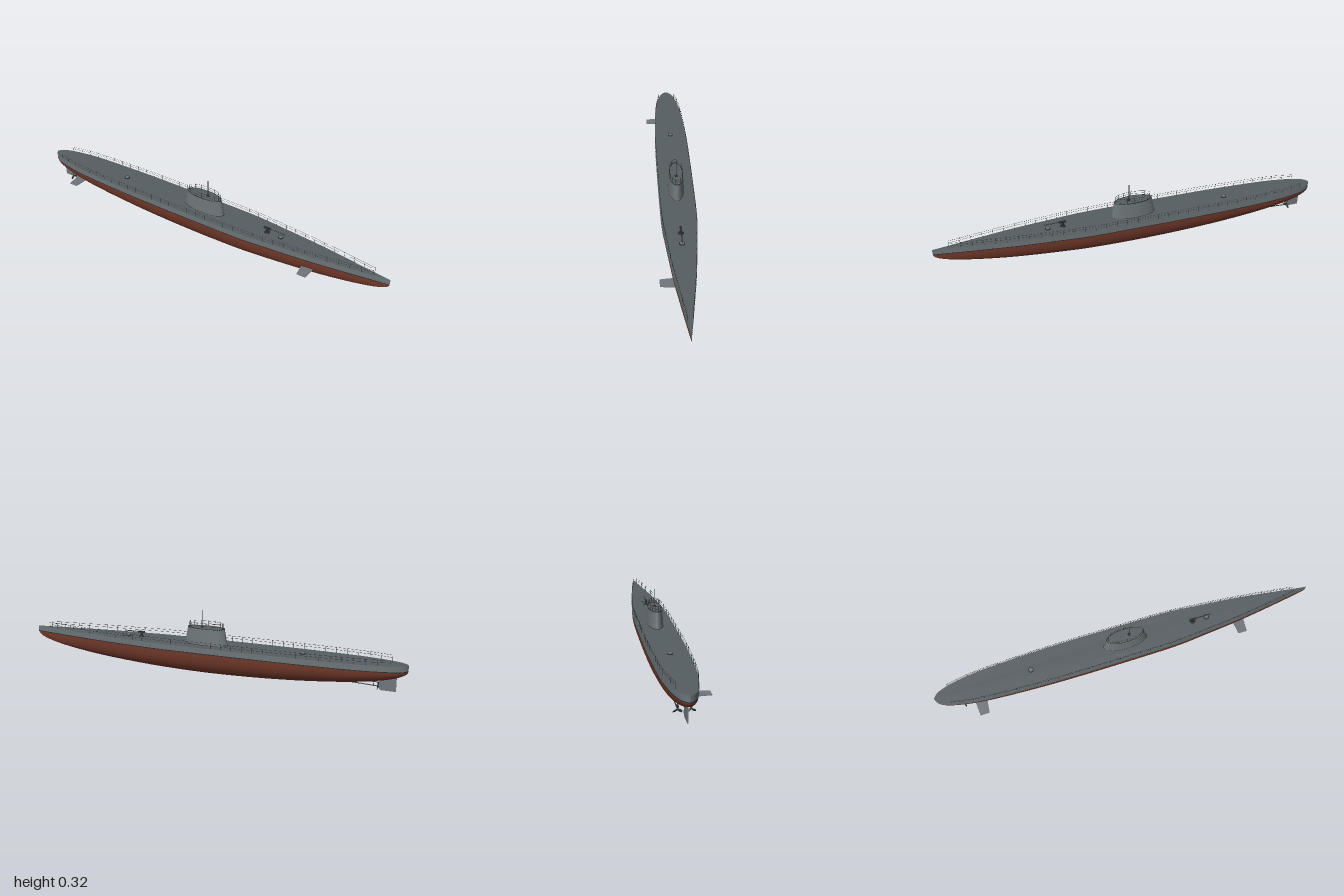
import * as THREE from 'three';

const mat = (name, color, side = THREE.FrontSide) => {
  const m = new THREE.MeshStandardMaterial({ color, side });
  m.name = name;
  return m;
};

export function createModel() {
  const red = mat('hull red', 0x743a2b);
  const grey = mat('hull grey', 0x6c7477);
  const deckGrey = mat('deck grey', 0x575e62);
  const dark = mat('dark steel', 0x2a2d2f);
  const plate = mat('plane grey', 0x70767a);

  const model = new THREE.Group();
  model.name = 'submarine';
  const boat = new THREE.Group();
  boat.name = 'boat';
  boat.position.z = -0.018;
  model.add(boat);

  const add = (name, geo, material, x = 0, y = 0, z = 0, parent = boat) => {
    const m = new THREE.Mesh(geo, material);
    m.name = name;
    m.position.set(x, y, z);
    parent.add(m);
    return m;
  };
  const rod = (name, a, b, r, material, parent = boat) => {
    const p = new THREE.Vector3(...a), q = new THREE.Vector3(...b);
    const m = add(name, new THREE.CylinderGeometry(r, r, p.distanceTo(q), 8), material, 0, 0, 0, parent);
    m.position.copy(p).lerp(q, 0.5);
    m.quaternion.setFromUnitVectors(new THREE.Vector3(0, 1, 0), q.sub(p).normalize());
    return m;
  };

  // Half-width of the deck from stern (-x) to bow (+x)
  const outline = new THREE.SplineCurve([
    [-1, 0], [-0.985, 0.02], [-0.95, 0.039], [-0.88, 0.057], [-0.77, 0.073], [-0.6, 0.083],
    [-0.35, 0.09], [0, 0.09], [0.25, 0.087], [0.4, 0.075], [0.6, 0.056], [0.75, 0.036],
    [0.88, 0.017], [0.96, 0.005], [1, 0],
  ].map(p => new THREE.Vector2(...p)));
  const stations = outline.getPoints(84);
  const halfWidth = x => {
    const i = Math.max(1, stations.findIndex(p => p.x >= x));
    const a = stations[i - 1], b = stations[i];
    return a.y + (b.y - a.y) * (x - a.x) / (b.x - a.x);
  };
  const depthAt = x => Math.sqrt(Math.max(0, 1 - Math.abs(x) ** 1.8));

  // Loft a cross-section, given as a rule (station, index) -> [y, z]
  const loft = (count, section) => {
    const pos = [], idx = [];
    stations.forEach((s, i) => {
      for (let j = 0; j < count; j++) {
        pos.push(s.x, ...section(s, j));
        if (i && j) {
          const d = i * count + j, c = d - 1, b = d - count, a = b - 1;
          idx.push(a, b, c, b, d, c);
        }
      }
    });
    const g = new THREE.BufferGeometry();
    g.setAttribute('position', new THREE.Float32BufferAttribute(pos, 3));
    g.setIndex(idx);
    g.computeVertexNormals();
    return g;
  };

  // Lower hull
  const N = 16;
  add('lowerHull', loft(N + 1, (s, j) => {
    const a = Math.PI * j / N;
    const c = Math.cos(a);
    return [0.12 - 0.12 * depthAt(s.x) * Math.sin(a), s.y * Math.sign(c) * Math.abs(c) ** 0.9];
  }), red);

  // Grey topsides and dark waterline stripe
  const sideBand = (name, top, bottom, out, material) => {
    for (const side of [1, -1]) {
      add(name, loft(2, (s, j) => [(j === 0) === (side > 0) ? top : bottom, side * (s.y + out)]), material);
    }
  };
  sideBand('topsides', 0.15, 0.12, 0, grey);
  sideBand('waterlineStripe', 0.1225, 0.1185, 0.0006, dark);

  // Deck
  const deckShape = new THREE.Shape([
    ...stations.map(p => new THREE.Vector2(p.x, -p.y)),
    ...stations.slice(1, -1).reverse().map(p => p.clone()),
  ]);
  add('deck', new THREE.ShapeGeometry(deckShape).rotateX(-Math.PI / 2), deckGrey, 0, 0.15);

  // Deck railings
  for (const side of [1, -1]) {
    const path = [];
    for (let i = 0; i <= 34; i++) {
      const x = -0.92 + i * 1.84 / 34;
      const z = side * halfWidth(x) * 0.96;
      rod('railPost', [x, 0.15, z], [x, 0.179, z], 0.0008, dark);
      path.push(new THREE.Vector3(x, 0, z));
    }
    for (const y of [0.166, 0.178]) {
      add('railWire', new THREE.TubeGeometry(new THREE.CatmullRomCurve3(path), 68, 0.0006, 4), dark, 0, y);
    }
  }

  // Conning tower
  const tower = new THREE.Group();
  tower.name = 'conningTower';
  boat.add(tower);
  const ellipse = (name, geo, material, y) => {
    const m = add(name, geo, material, 0, y, 0, tower);
    m.scale.z = 0.355;
    return m;
  };
  const ring = (r, t) => new THREE.TorusGeometry(r, t, 6, 48).rotateX(Math.PI / 2);
  ellipse('towerWall', new THREE.CylinderGeometry(0.098, 0.115, 0.084, 48, 1, true), grey, 0.192);
  ellipse('bridgeFloor', new THREE.CircleGeometry(0.098, 48).rotateX(-Math.PI / 2), deckGrey, 0.234);
  ellipse('towerRim', ring(0.097, 0.0025), dark, 0.234);
  ellipse('towerFoot', ring(0.115, 0.0015), dark, 0.151);
  for (const y of [0.247, 0.26]) ellipse('bridgeRail', ring(0.09, 0.0007), dark, y);
  for (let i = 0; i < 14; i++) {
    const a = (i + 0.5) * Math.PI / 7;
    const x = 0.09 * Math.cos(a), z = 0.032 * Math.sin(a);
    rod('bridgePost', [x, 0.234, z], [x, 0.262, z], 0.0009, dark, tower);
  }
  add('bridgeHatch', new THREE.CylinderGeometry(0.008, 0.008, 0.005, 16), dark, 0.02, 0.236, 0, tower);
  rod('periscope', [0.02, 0.234, 0], [0.02, 0.323, 0], 0.0018, dark, tower);

  // Deck hatches
  for (const x of [-0.5, 0.44]) {
    add('hatchCoaming', new THREE.CylinderGeometry(0.014, 0.014, 0.004, 20), dark, x, 0.152);
    add('hatchLid', new THREE.CylinderGeometry(0.01, 0.01, 0.003, 20), grey, x, 0.154);
  }

  // Deck gun
  const gun = new THREE.Group();
  gun.name = 'deckGun';
  boat.add(gun);
  add('gunBase', new THREE.CylinderGeometry(0.013, 0.015, 0.004, 16), dark, 0.365, 0.152, 0, gun);
  add('gunPedestal', new THREE.CylinderGeometry(0.005, 0.008, 0.022, 12), dark, 0.365, 0.163, 0, gun);
  add('gunBreech', new THREE.BoxGeometry(0.036, 0.008, 0.01), dark, 0.365, 0.176, 0, gun);
  rod('gunBarrel', [0.38, 0.176, 0], [0.46, 0.176, 0], 0.0025, dark, gun);

  // Diving planes on the left side
  const divingPlane = (name, x, root, tip, w) => {
    const s = new THREE.Shape([
      new THREE.Vector2(x - w, -root), new THREE.Vector2(x - w * 0.75, -tip),
      new THREE.Vector2(x + w * 0.75, -tip), new THREE.Vector2(x + w, -root),
    ]);
    const g = new THREE.ExtrudeGeometry(s, { depth: 0.003, bevelEnabled: false }).rotateX(-Math.PI / 2);
    add(name, g, plate, 0, 0.0695);
  };
  divingPlane('sternPlane', -0.785, 0.044, 0.127, 0.031);
  divingPlane('bowPlane', 0.612, 0.03, 0.112, 0.031);

  // Rudder
  const rudder = new THREE.Shape([[-0.95, 0.015], [-0.88, 0.015], [-0.87, 0.025], [-0.87, 0.09], [-0.95, 0.095]]
    .map(p => new THREE.Vector2(...p)));
  add('rudder', new THREE.ExtrudeGeometry(rudder, { depth: 0.005, bevelEnabled: false }), plate, 0, 0, -0.0025);

  // Twin propellers, shafts and struts
  for (const side of [1, -1]) {
    const z = side * 0.028;
    rod('propellerShaft', [-0.875, 0.043, z], [-0.68, 0.052, z], 0.0025, dark);
    rod('shaftStrut', [-0.85, 0.044, z], [-0.84, 0.085, z * 0.6], 0.0018, dark);
    const prop = new THREE.Group();
    prop.name = 'propeller';
    prop.position.set(-0.87, 0.043, z);
    boat.add(prop);
    add('propellerHub', new THREE.SphereGeometry(0.005, 12, 8), dark, 0, 0, 0, prop);
    for (let i = 0; i < 3; i++) {
      const arm = new THREE.Group();
      arm.name = 'propellerBlade';
      arm.rotation.x = side * i * Math.PI * 2 / 3;
      prop.add(arm);
      const blade = add('blade', new THREE.SphereGeometry(0.011, 12, 8), dark, 0, 0.012, 0, arm);
      blade.scale.set(0.12, 1, 0.55);
      blade.rotation.y = side * 0.5;
    }
  }
  return model;
}
